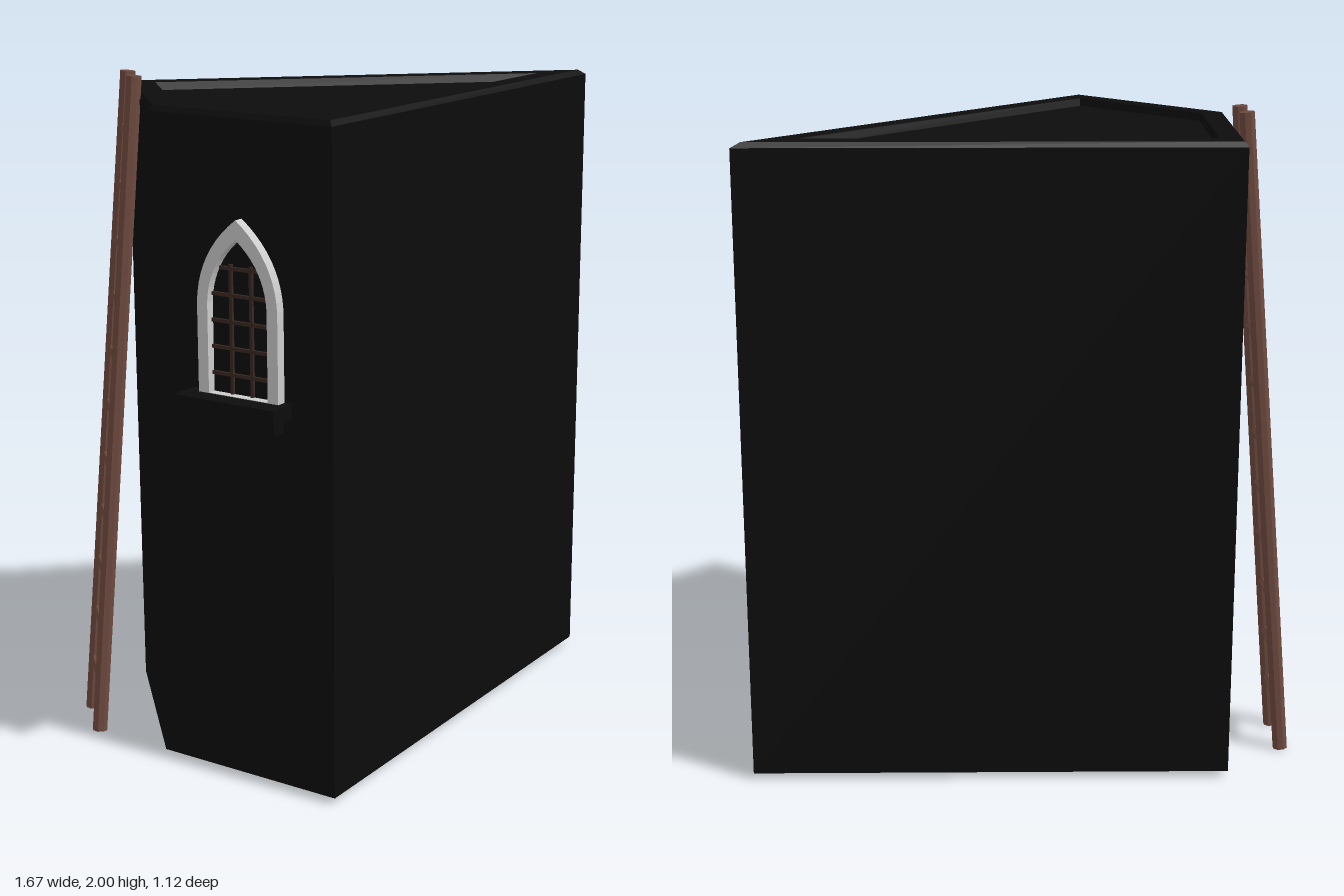
import * as THREE from 'three';

const black = new THREE.MeshStandardMaterial({ color: 0x0c0c0c, side: THREE.DoubleSide, flatShading: true });
const stone = new THREE.MeshStandardMaterial({ color: 0xcccccc });
const wood = new THREE.MeshStandardMaterial({ color: 0x6e4a3f, flatShading: true });
const darkWood = new THREE.MeshStandardMaterial({ color: 0x3a2822 });

function add(parent, name, geometry, material, x = 0, y = 0, z = 0) {
  const mesh = new THREE.Mesh(geometry, material);
  mesh.name = name;
  mesh.position.set(x, y, z);
  parent.add(mesh);
  return mesh;
}

// Kite-shaped plan, moved inward by d on every side
function kite(d, y) {
  const cx = -0.5 + 0.535 * d, cz = 0.558 - 1.309 * d;
  return [[-0.735 + d / 0.922, y, 0], [cx, y, cz], [0.835 - d / 0.387, y, 0], [cx, y, -cz]];
}

// Open-bottomed tower: walls, chamfer, rim and sunken roof
function towerGeometry() {
  const rings = [kite(0, 0.02), kite(0, 1.93), kite(0.012, 1.945), kite(0.076, 1.945), kite(0.082, 1.922)];
  const pos = [];
  const quad = (a, b, c, d) => pos.push(...a, ...b, ...c, ...a, ...c, ...d);
  for (let i = 0; i < rings.length - 1; i++) {
    for (let j = 0; j < 4; j++) {
      const k = (j + 1) % 4;
      quad(rings[i][j], rings[i][k], rings[i + 1][k], rings[i + 1][j]);
    }
  }
  quad(...rings[rings.length - 1]);
  const g = new THREE.BufferGeometry();
  g.setAttribute('position', new THREE.Float32BufferAttribute(pos, 3));
  g.computeVertexNormals();
  return g;
}

// Pointed arch outline: half width, foot, spring line and apex heights
function arch(path, h, foot, spring, apex) {
  path.moveTo(-h, foot);
  path.lineTo(h, foot);
  path.lineTo(h, spring);
  path.quadraticCurveTo(h * 0.95, spring + (apex - spring) * 0.6, 0, apex);
  path.quadraticCurveTo(-h * 0.95, spring + (apex - spring) * 0.6, -h, spring);
  path.lineTo(-h, foot);
  return path;
}

function createWindow() {
  const group = new THREE.Group();
  group.name = 'window';
  const frame = arch(new THREE.Shape(), 0.135, 1.16, 1.42, 1.66);
  frame.holes.push(arch(new THREE.Path(), 0.1, 1.165, 1.42, 1.605));
  add(group, 'windowFrame', new THREE.ExtrudeGeometry(frame, { depth: 0.03, bevelEnabled: false, curveSegments: 10 }), stone);
  const pane = arch(new THREE.Shape(), 0.105, 1.16, 1.42, 1.61);
  add(group, 'windowPane', new THREE.ShapeGeometry(pane, 10), black, 0, 0, 0.004);
  for (const x of [-0.034, 0.034]) {
    add(group, 'windowMullion', new THREE.BoxGeometry(0.01, 0.37, 0.008), darkWood, x, 1.347, 0.008);
  }
  for (let i = 0; i < 5; i++) {
    add(group, 'windowCrossbar', new THREE.BoxGeometry(i < 4 ? 0.2 : 0.14, 0.01, 0.008), darkWood, 0, 1.22 + i * 0.075, 0.008);
  }
  // Sill with a smaller step below it
  add(group, 'windowSill', new THREE.BoxGeometry(0.335, 0.043, 0.1), black, -0.008, 1.142, 0.04);
  add(group, 'sillSupport', new THREE.BoxGeometry(0.28, 0.045, 0.055), black, -0.008, 1.1, 0.02);
  return group;
}

// Round bar between two points
function bar(parent, name, a, b, radius, sides) {
  const mesh = add(parent, name, new THREE.CylinderGeometry(radius, radius, a.distanceTo(b), sides), wood);
  mesh.position.copy(a).add(b).multiplyScalar(0.5);
  mesh.quaternion.setFromUnitVectors(new THREE.Vector3(0, 1, 0), b.clone().sub(a).normalize());
}

function createLadder() {
  const group = new THREE.Group();
  group.name = 'ladder';
  const rails = [
    [new THREE.Vector3(-0.815, 0.002, -0.275), new THREE.Vector3(-0.65, 1.998, -0.235)],
    [new THREE.Vector3(-0.752, 0.002, -0.442), new THREE.Vector3(-0.603, 1.998, -0.36)],
  ];
  for (const [a, b] of rails) bar(group, 'ladderRail', a, b, 0.023, 8);
  for (let i = 1; i <= 11; i++) {
    const [a, b] = rails.map(([p, q]) => p.clone().lerp(q, i / 12));
    bar(group, 'ladderRung', a, b, 0.017, 6);
  }
  return group;
}

export function createModel() {
  const model = new THREE.Group();
  model.name = 'tower';
  add(model, 'towerBody', towerGeometry(), black);

  // Window sits on the short front wall, local z pointing outward
  const win = createWindow();
  win.rotation.y = -Math.atan2(0.922, 0.387);
  win.position.set(-0.735 + 0.387 * 0.312, 0, 0.922 * 0.312);
  model.add(win);

  model.add(createLadder());
  return model;
}
